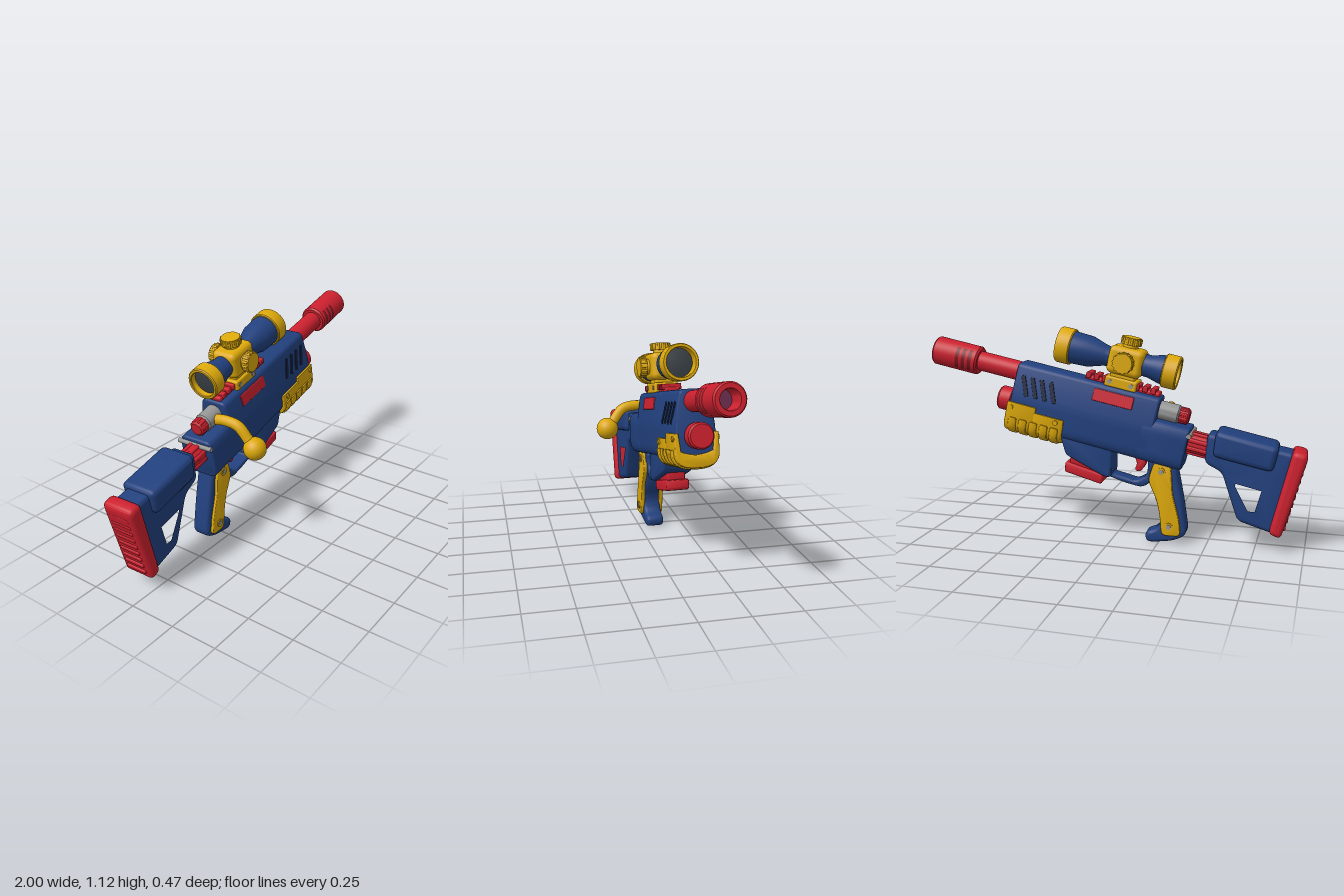
import * as THREE from 'three';
import { toCreasedNormals } from 'three/addons/utils/BufferGeometryUtils.js';
import { RoundedBoxGeometry } from 'three/addons/geometries/RoundedBoxGeometry.js';

const TILT = 0.213; // nose-up angle of the whole toy
const COS = Math.cos(TILT), SIN = Math.sin(TILT);

function colour(name, hex) {
  const m = new THREE.MeshStandardMaterial({ color: hex });
  m.name = name;
  return m;
}

export function createModel() {
  const blue = colour('blue plastic', 0x21407d);
  const red = colour('red plastic', 0xcb202e);
  const yellow = colour('yellow plastic', 0xdca80a);
  const grey = colour('grey metal', 0x959595);
  const glass = colour('dark glass', 0x3a4146);
  const plum = colour('plum bore', 0x6a2c4c);
  const darkRed = colour('dark red slot', 0x7c1620);
  const navy = colour('navy vent', 0x131e3a);

  const root = new THREE.Group();
  root.name = 'toyBlaster';
  const gun = new THREE.Group();
  gun.name = 'blaster';
  gun.rotation.y = 0.034;
  gun.position.z = -0.093;
  root.add(gun);

  function add(name, geo, mat, x = 0, y = 0, z = 0, rot = 0, parent = gun) {
    const m = new THREE.Mesh(geo, mat);
    m.name = name;
    m.position.set(x, y, z);
    m.rotation.z = rot;
    parent.add(m);
    return m;
  }

  // polygon with rounded corners
  function rounded(pts, r, Type = THREE.Shape) {
    const s = new Type(), n = pts.length;
    pts.forEach((p, i) => {
      const v = new THREE.Vector2(...p);
      const a = new THREE.Vector2(...pts[(i + n - 1) % n]).sub(v);
      const b = new THREE.Vector2(...pts[(i + 1) % n]).sub(v);
      const start = a.clone().setLength(Math.min(r, a.length() * 0.45)).add(v);
      const end = b.clone().setLength(Math.min(r, b.length() * 0.45)).add(v);
      if (i === 0) s.moveTo(start.x, start.y);
      else s.lineTo(start.x, start.y);
      s.quadraticCurveTo(v.x, v.y, end.x, end.y);
    });
    s.closePath();
    return s;
  }

  const extrude = (shape, length, bevel) => new THREE.ExtrudeGeometry(shape, {
    depth: length - 2 * bevel, bevelThickness: bevel, bevelSize: bevel,
    bevelOffset: -bevel, bevelSegments: 4, curveSegments: 8,
  }).translate(0, 0, bevel);

  // side outline extruded symmetrically across the width
  function slab(name, mat, pts, half, bevel, r = 0.02, hole = null, z = 0) {
    const s = rounded(pts, r);
    if (hole) s.holes.push(rounded(hole, 0.02, THREE.Path));
    const geo = extrude(s, 2 * half, bevel).translate(0, 0, -half);
    add(name, toCreasedNormals(geo, 0.6), mat, 0, 0, z);
  }

  // cross-section (width, height) extruded along the tilted axis
  function prism(name, mat, shape, x, y, length, bevel) {
    const geo = extrude(shape, length, bevel).rotateY(Math.PI / 2);
    add(name, toCreasedNormals(geo, 0.6), mat, x, y, 0, TILT);
  }

  // turned part along the tilted axis: profile of [radius, distance]
  function turned(name, mat, x, y, profile) {
    const geo = new THREE.LatheGeometry(profile.map(p => new THREE.Vector2(...p)), 32);
    add(name, toCreasedNormals(geo, 0.55), mat, x, y, 0, TILT - Math.PI / 2);
  }
  const rod = (r, a, b, e = 0.008) => [[0, a], [r - e, a], [r, a + e], [r, b - e], [r - e, b], [0, b]];
  const box = (name, mat, w, h, d, x, y, z = 0, rot = TILT, r = 0.01, parent = gun) =>
    add(name, new RoundedBoxGeometry(w, h, d, 3, r), mat, x, y, z, rot, parent);
  // round stud whose axis runs across the width
  function stud(name, mat, r, len, x, y, z = 0) {
    add(name, new THREE.CylinderGeometry(r, r, len, 16), mat, x, y, z).rotation.x = Math.PI / 2;
  }

  // receiver: tapered main section and lower rear section
  const mirrored = half => [...half, ...half.map(([z, v]) => [-z, v]).reverse()];
  const mainSection = mirrored([[0.08, 0.482], [0.1, 0.52], [0.1, 0.65], [0.071, 0.82]]);
  const rearSection = mirrored([[0.08, 0.482], [0.1, 0.52], [0.1, 0.66], [0.085, 0.705]]);
  prism('receiver', blue, rounded(mainSection, 0.03), -0.088 * COS, -0.088 * SIN, 0.772, 0.012);
  prism('receiverRear', blue, rounded(rearSection, 0.025), -0.272 * COS, -0.272 * SIN, 0.25, 0.012);
  slab('magazineWell', blue, [[-0.005, 0.52], [0.0, 0.358], [0.03, 0.355], [0.245, 0.465], [0.28, 0.59]], 0.08, 0.012);
  slab('triggerGuard', blue, [[-0.225, 0.47], [-0.215, 0.34], [-0.16, 0.302], [-0.06, 0.325], [0.04, 0.36], [0.04, 0.51]],
    0.045, 0.012, 0.03, [[-0.195, 0.462], [0.005, 0.49], [0.005, 0.372], [-0.13, 0.337], [-0.185, 0.37]]);
  slab('trigger', red, [[-0.18, 0.48], [-0.11, 0.48], [-0.13, 0.425], [-0.115, 0.39], [-0.145, 0.38], [-0.175, 0.42]], 0.025, 0.008);

  // ejection window and vents on the sloping sides
  for (const s of [-1, 1]) {
    const panel = new THREE.Group();
    panel.name = 'sidePanel';
    panel.rotation.set(-s * 0.169, 0, TILT, 'ZYX');
    panel.position.set(-0.71 * SIN, 0.71 * COS, s * 0.0898);
    gun.add(panel);
    box('ejectionWindow', red, 0.215, 0.064, 0.009, 0.15, 0.05, 0, 0, 0.004, panel);
    for (let i = 0; i < 4; i++) box('sideVent', navy, 0.023, 0.112, 0.006, 0.468 + 0.051 * i, 0, 0, -0.38, 0.002, panel);
  }

  // top rail with teeth
  box('railBase', red, 0.4, 0.04, 0.08, -0.05, 0.828);
  for (let i = 0; i < 9; i++) {
    const d = -0.17 + i * 0.0435;
    box('railTooth', red, 0.027, 0.03, 0.1, -0.05 + d * COS, 0.85 + d * SIN, 0, TILT, 0.005);
  }

  // barrel and hollow muzzle
  turned('barrel', red, 0.48, 0.883, rod(0.052, -0.05, 0.3));
  turned('muzzle', red, 0.735, 0.937, [[0, 0], [0.068, 0], [0.076, 0.01], [0.076, 0.247], [0.069, 0.256], [0.048, 0.256], [0.045, 0.25], [0.045, 0.1]]);
  turned('muzzleBore', plum, 0.735, 0.937, [[0.046, 0.15], [0, 0.15]]);
  for (let i = 0; i < 3; i++) for (const s of [0, Math.PI]) {
    const d = 0.04 + i * 0.035;
    add('muzzleSlot', new THREE.CylinderGeometry(0.0768, 0.0768, 0.02, 14, 1, true, s - 0.8, 1.6), darkRed,
      0.735 + d * COS, 0.937 + d * SIN, 0, TILT - Math.PI / 2);
  }
  turned('lowerTube', red, 0.53, 0.727, [[0, -0.05], [0.05, -0.05], [0.05, 0.025], [0.064, 0.03], [0.064, 0.09], [0.056, 0.1], [0, 0.1]]);

  // hand guard: U-shaped slices wrapped under the receiver
  function guardSlice(name, d, length, top, g) {
    const s = new THREE.Shape();
    s.moveTo(-0.11 - g, top);
    s.lineTo(-0.11 - g, -0.02);
    s.bezierCurveTo(-0.1 - g, -0.075 - g, -0.05, -0.08 - g, 0, -0.08 - g);
    s.bezierCurveTo(0.05, -0.08 - g, 0.1 + g, -0.075 - g, 0.11 + g, -0.02);
    s.lineTo(0.11 + g, top);
    s.lineTo(0.09, top);
    s.lineTo(0.08, 0);
    s.quadraticCurveTo(0, -0.035, -0.08, 0);
    s.lineTo(-0.09, top);
    prism(name, yellow, s, 0.275 + d * COS, 0.597 + d * SIN, length, 0.008);
  }
  guardSlice('handGuardRear', -0.02, 0.18, 0.06, 0);
  guardSlice('handGuardFront', 0.14, 0.16, 0.088, 0.001);
  for (let i = 0; i < 5; i++) guardSlice('handGuardRib', 0.0 + i * 0.058, 0.044, 0.01, 0.009);
  stud('handGuardScrew', yellow, 0.013, 0.235, 0.53, 0.715);
  stud('handGuardScrew', yellow, 0.013, 0.235, 0.288, 0.64);

  // magazine
  slab('magazineNeck', red, [[0.06, 0.5], [0.07, 0.35], [0.235, 0.39], [0.22, 0.5]], 0.048, 0.01);
  slab('magazineBase', red, [[0.042, 0.362], [0.252, 0.425], [0.258, 0.368], [0.055, 0.31]], 0.062, 0.01, 0.015);

  // pistol grip with side panels
  slab('grip', blue, [[-0.33, 0.47], [-0.375, 0.24], [-0.402, 0.06], [-0.33, 0.022], [-0.185, 0.002], [-0.175, 0.062],
    [-0.245, 0.085], [-0.27, 0.16], [-0.23, 0.24], [-0.215, 0.32], [-0.18, 0.46]], 0.05, 0.02, 0.045);
  for (const s of [-1, 1]) {
    slab('gripPanel', yellow, [[-0.315, 0.438], [-0.225, 0.448], [-0.195, 0.35], [-0.24, 0.25], [-0.258, 0.17],
      [-0.268, 0.055], [-0.37, 0.055], [-0.36, 0.15], [-0.325, 0.28]], 0.012, 0.007, 0.03, null, s * 0.053);
    for (const [x, y] of [[-0.265, 0.4], [-0.308, 0.105]]) {
      stud('gripScrewSeat', yellow, 0.022, 0.01, x, y, s * 0.065);
      stud('gripScrew', grey, 0.013, 0.008, x, y, s * 0.068);
    }
  }

  // stock, cheek rest and butt pad
  slab('stock', blue, [[-0.94, 0.53], [-0.5, 0.615], [-0.485, 0.46], [-0.575, 0.415], [-0.66, 0.165], [-0.84, 0.11]],
    0.07, 0.022, 0.03, [[-0.805, 0.35], [-0.63, 0.39], [-0.62, 0.35], [-0.7, 0.2], [-0.765, 0.2]]);
  slab('cheekRest', blue, [[-0.86, 0.565], [-0.545, 0.635], [-0.53, 0.51], [-0.55, 0.495], [-0.83, 0.435]], 0.1, 0.03, 0.03);
  slab('buttPad', red, [[-1, 0.515], [-0.985, 0.538], [-0.925, 0.548], [-0.825, 0.14], [-0.825, 0.11], [-0.88, 0.09], [-0.895, 0.14]], 0.09, 0.025, 0.03);
  for (let i = 0; i < 9; i++) {
    const t = i / 8;
    box('buttPadRidge', red, 0.03, 0.022, 0.12, -0.974 + 0.085 * t, 0.47 - 0.33 * t, 0, TILT, 0.008);
  }

  // ribbed buffer tube joining stock and receiver
  turned('bufferTube', red, -0.46, 0.54, rod(0.056, -0.08, 0.09));
  for (let i = 0; i < 8; i++) {
    const a = (i + 0.5) * Math.PI / 4, v = 0.053 * Math.cos(a);
    box('bufferRib', red, 0.15, 0.022, 0.022, -0.46 - v * SIN, 0.54 + v * COS, 0.053 * Math.sin(a), TILT, 0.008);
  }
  stud('rearPin', grey, 0.013, 0.204, -0.41, 0.6);

  // bolt, knurled end and ball handle
  turned('bolt', grey, -0.29, 0.705, rod(0.048, -0.06, 0.08));
  turned('boltEnd', red, -0.37, 0.688, rod(0.04, -0.03, 0.03));
  for (let i = 0; i < 10; i++) {
    const a = i * Math.PI / 5, v = 0.036 * Math.cos(a);
    box('boltKnurl', red, 0.045, 0.015, 0.015, -0.37 - v * SIN, 0.688 + v * COS, 0.036 * Math.sin(a), TILT, 0.005);
  }
  const arm = new THREE.CatmullRomCurve3([[-0.285, 0.7, 0.02], [-0.28, 0.71, 0.1], [-0.275, 0.695, 0.17], [-0.265, 0.63, 0.225], [-0.26, 0.59, 0.258]]
    .map(p => new THREE.Vector3(...p)));
  add('boltHandle', new THREE.TubeGeometry(arm, 24, 0.028, 14), yellow);
  add('boltBall', new THREE.SphereGeometry(0.06, 28, 18), yellow, -0.26, 0.59, 0.26);

  // scope
  const SX = -0.072, SY = 0.961;
  turned('scopeTube', blue, SX, SY, [[0, -0.22], [0.074, -0.22], [0.074, -0.18], [0.058, -0.12], [0.05, 0.09],
    [0.055, 0.12], [0.08, 0.2], [0.085, 0.31], [0, 0.31]]);
  turned('scopeFrontRing', yellow, SX, SY, [[0.08, 0.295], [0.09, 0.295], [0.094, 0.3], [0.094, 0.365], [0.09, 0.372], [0.077, 0.372], [0.074, 0.367], [0.074, 0.3]]);
  turned('scopeRearRing', yellow, SX, SY, [[0.068, -0.24], [0.068, -0.27], [0.071, -0.274], [0.082, -0.274], [0.087, -0.268], [0.087, -0.202], [0.082, -0.196], [0.06, -0.196]]);
  turned('frontLens', glass, SX, SY, [[0.076, 0.318], [0.04, 0.326], [0, 0.329]]);
  turned('rearLens', glass, SX, SY, [[0, -0.245], [0.04, -0.243], [0.07, -0.238]]);
  box('scopeHousing', yellow, 0.185, 0.145, 0.145, SX, SY, 0, TILT, 0.03);
  box('scopeMount', yellow, 0.13, 0.09, 0.1, SX + 0.018, SY - 0.08);
  box('scopeFoot', yellow, 0.17, 0.055, 0.13, SX + 0.024, SY - 0.112);
  for (const d of [-0.055, 0.06]) stud('mountPin', grey, 0.012, 0.136, SX + 0.022 + d * COS, SY - 0.112 + d * SIN);

  // scalloped adjustment knobs: one on top, one on each side
  function knob(turn) {
    const g = new THREE.Group();
    g.name = 'scopeKnob';
    add('knobNeck', new THREE.CylinderGeometry(0.038, 0.044, 0.06, 20), yellow, 0, 0.075, 0, 0, g);
    add('knobCap', new THREE.CylinderGeometry(0.05, 0.052, 0.038, 28), yellow, 0, 0.105, 0, 0, g);
    for (let i = 0; i < 14; i++) {
      const a = i * Math.PI / 7;
      add('knobRidge', new THREE.CylinderGeometry(0.007, 0.007, 0.032, 8), yellow, 0.049 * Math.cos(a), 0.104, 0.049 * Math.sin(a), 0, g);
    }
    g.rotation.set(turn, 0, TILT, 'ZYX');
    g.position.set(SX, SY, 0);
    gun.add(g);
  }
  [0, Math.PI / 2, -Math.PI / 2].forEach(knob);

  return root;
}
